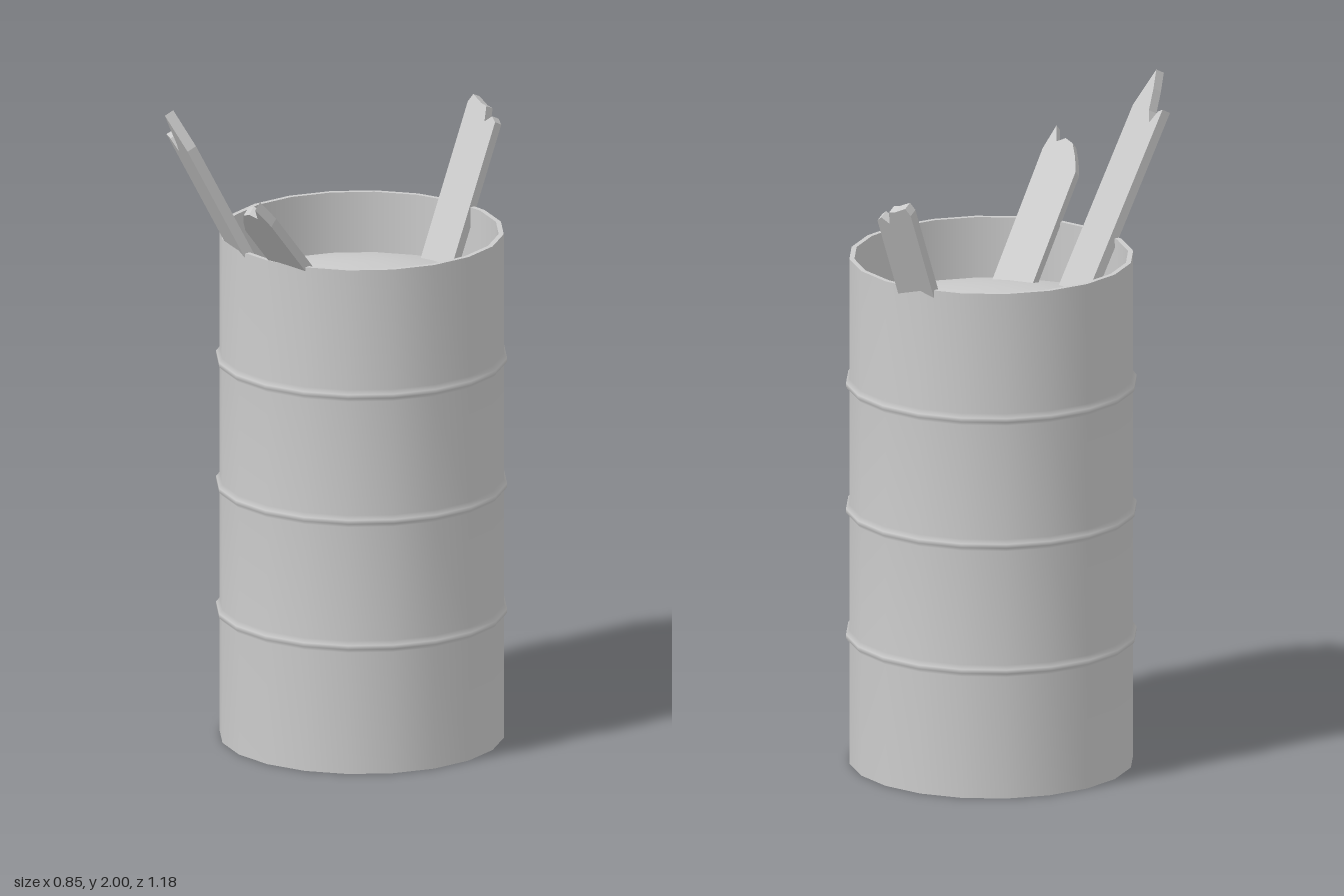
import * as THREE from 'three';

const material = new THREE.MeshStandardMaterial({ color: 0xcccccc });

const SIDES = 20;
const RADIUS = 0.42;
const INNER = 0.405;
const TOP = 1.545;
const FILL_EDGE = 1.36;

// Revolves a profile of [radius, y] pairs around the barrel axis
function revolve(name, profile) {
  const points = profile.map(([r, y]) => new THREE.Vector2(r, y));
  const start = THREE.MathUtils.degToRad(10.6);
  const mesh = new THREE.Mesh(new THREE.LatheGeometry(points, SIDES, start), material);
  mesh.name = name;
  return mesh;
}

// Board with a splintered end: base is the middle of its upper face at the fill,
// across runs over its width, along runs up its length, top is the broken edge
function plank(name, { base, across, along, halfWidth, top, upperFaceInFront }) {
  const thickness = 0.03;
  const buried = -0.12;
  const outline = [[-halfWidth, buried], [halfWidth, buried], ...top];
  const shape = new THREE.Shape(outline.map(([u, v]) => new THREE.Vector2(u, v)));
  const geometry = new THREE.ExtrudeGeometry(shape, { depth: thickness, bevelEnabled: false });
  if (upperFaceInFront) geometry.translate(0, 0, -thickness);

  const up = new THREE.Vector3(...along).normalize();
  const normal = new THREE.Vector3(...across).cross(up).normalize();
  const side = new THREE.Vector3().crossVectors(up, normal);
  geometry.applyMatrix4(new THREE.Matrix4().makeBasis(side, up, normal).setPosition(...base));

  const mesh = new THREE.Mesh(geometry, material);
  mesh.name = name;
  return mesh;
}

export function createModel() {
  const model = new THREE.Group();
  model.name = 'barrelWithPlanks';

  // Barrel, standing slightly behind the middle
  const barrel = new THREE.Group();
  barrel.name = 'barrel';
  barrel.position.z = -0.036;

  // Outer wall with three raised hoops
  const wall = [[RADIUS, 0]];
  for (const y of [0.39, 0.775, 1.16]) {
    wall.push([RADIUS, y - 0.018], [RADIUS + 0.01, y - 0.006], [RADIUS + 0.01, y + 0.006], [RADIUS, y + 0.018]);
  }
  wall.push([RADIUS, TOP]);

  barrel.add(
    revolve('outerWall', wall),
    revolve('bottom', [[0, 0], [RADIUS, 0]]),
    revolve('rim', [[RADIUS, TOP], [INNER, TOP]]),
    revolve('innerWall', [[INNER, TOP], [INNER, FILL_EDGE - 0.02]]),
    // Gently heaped contents
    revolve('filling', [[INNER, FILL_EDGE], [0.3, 1.388], [0.2, 1.406], [0.1, 1.417], [0, 1.42]])
  );
  model.add(barrel);

  // Broken planks leaning out over the rim
  model.add(
    plank('frontRightPlank', {
      base: [-0.07, 1.4, 0.26],
      across: [0.14, 0, 0.04],
      along: [-0.06, 0.5, 0.26],
      halfWidth: 0.073,
      top: [[0.071, 0.56], [0.052, 0.615], [0.03, 0.68], [0.008, 0.625], [-0.012, 0.56],
        [-0.035, 0.525], [-0.055, 0.565], [-0.073, 0.575]]
    }),
    plank('frontLeftPlank', {
      base: [0.11, 1.41, 0.2],
      across: [0.13, 0, -0.03],
      along: [0.05, 0.32, 0.28],
      halfWidth: 0.066,
      top: [[0.066, 0.415], [0.05, 0.495], [0.03, 0.445], [0.006, 0.46], [-0.022, 0.448],
        [-0.047, 0.405], [-0.066, 0.36]]
    }),
    plank('backPlank', {
      base: [-0.04, 1.38, -0.345],
      across: [0.125, 0, -0.02],
      along: [-0.035, 0.44, -0.205],
      halfWidth: 0.0625,
      upperFaceInFront: true,
      top: [[0.0625, 0.445], [0.045, 0.46], [0.022, 0.44], [0.012, 0.485], [-0.01, 0.49],
        [-0.05, 0.51], [-0.0625, 0.485]]
    })
  );

  return model;
}
